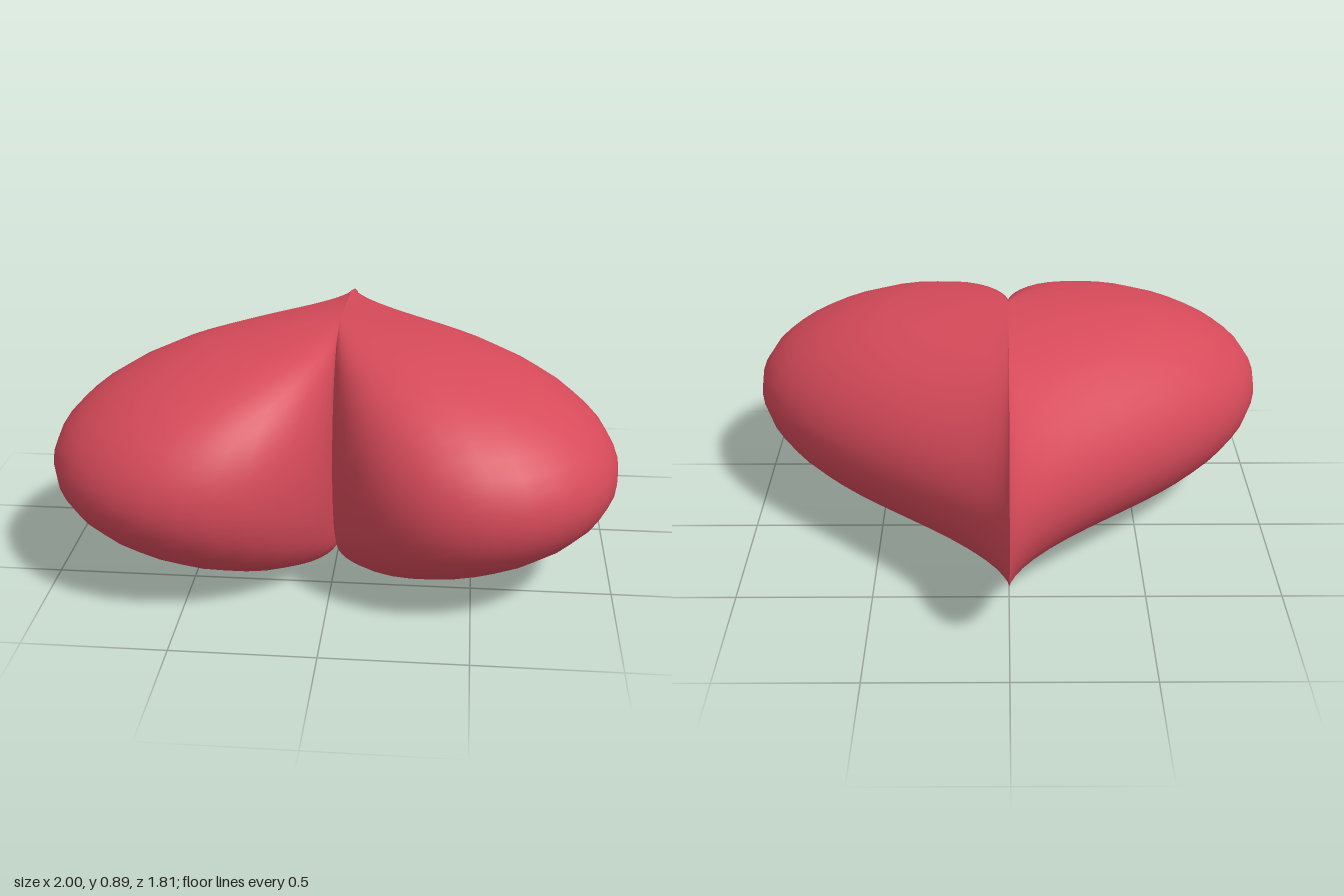
import * as THREE from 'three';

const SEGMENTS = 32;       // steps along one half of the heart outline
const STACKS = 18;         // evenly spaced layers from bottom pole to top pole
const HALF_HEIGHT = 0.445;
const CENTRE_Z = 0.156;    // axis through both poles

// Classic heart curve, lobes toward +z and point toward -z
function heartPoint(t) {
  return [
    Math.sin(t) ** 3,
    (13 * Math.cos(t) - 5 * Math.cos(2 * t) - 2 * Math.cos(3 * t) - Math.cos(4 * t)) / 16,
  ];
}

// One lobe: heart outlines stacked up the axis and scaled like the slices of a ball
function lobeGeometry(startAngle) {
  const positions = [];
  const indices = [];
  const row = SEGMENTS + 1;

  positions.push(0, 0, CENTRE_Z);
  for (let j = 1; j < STACKS; j++) {
    const h = (2 * j) / STACKS - 1;
    const scale = Math.sqrt(1 - h * h);
    for (let i = 0; i <= SEGMENTS; i++) {
      const [x, z] = heartPoint(startAngle + (Math.PI * i) / SEGMENTS);
      positions.push(x * scale, HALF_HEIGHT * (1 + h), CENTRE_Z + z * scale);
    }
  }
  positions.push(0, 2 * HALF_HEIGHT, CENTRE_Z);

  const top = positions.length / 3 - 1;
  const lastRow = top - row;
  for (let i = 0; i < SEGMENTS; i++) {
    indices.push(0, 2 + i, 1 + i);
    for (let j = 0; j < STACKS - 2; j++) {
      const a = 1 + j * row + i;
      const b = a + row;
      indices.push(a, a + 1, b + 1, a, b + 1, b);
    }
    indices.push(lastRow + i, lastRow + i + 1, top);
  }

  const geometry = new THREE.BufferGeometry();
  geometry.setAttribute('position', new THREE.Float32BufferAttribute(positions, 3));
  geometry.setIndex(indices);
  geometry.computeVertexNormals();
  // Both lobes share vertical normals at the poles, so the crease fades there
  geometry.attributes.normal.setXYZ(0, 0, -1, 0);
  geometry.attributes.normal.setXYZ(top, 0, 1, 0);
  return geometry;
}

export function createModel() {
  const group = new THREE.Group();
  group.name = 'heart';
  const material = new THREE.MeshStandardMaterial({ color: 0xd64a5a });

  // Separate halves keep the cleft and the pointed ridge sharp
  for (const [name, start] of [['leftLobe', 0], ['rightLobe', Math.PI]]) {
    const lobe = new THREE.Mesh(lobeGeometry(start), material);
    lobe.name = name;
    group.add(lobe);
  }
  return group;
}
